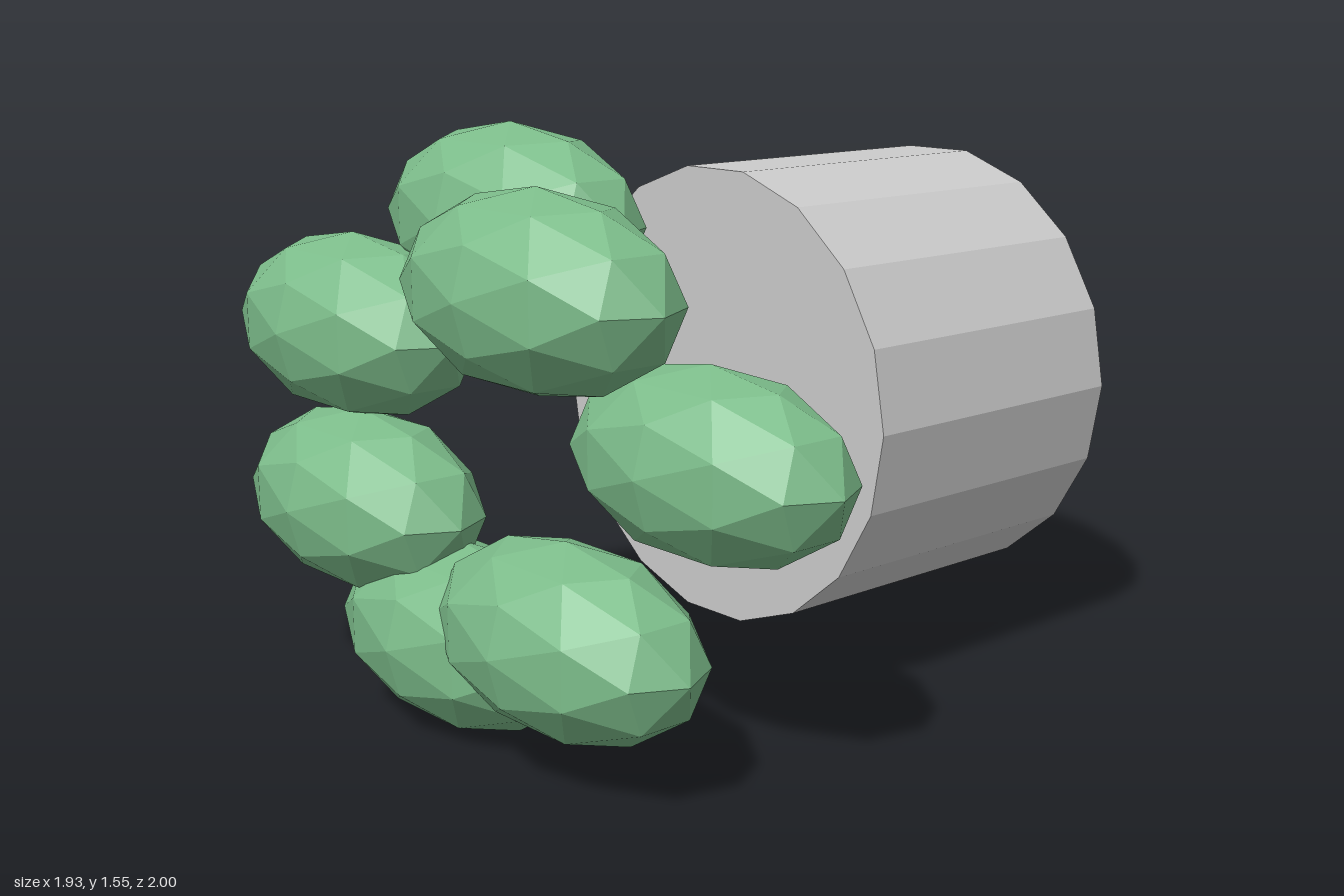
import * as THREE from 'three';

export function createModel() {
  const model = new THREE.Group();
  const centre = { x: -0.03, y: 0.775 };

  // Faceted drum lying along z, with a vertex on each side
  const drumGeometry = new THREE.CylinderGeometry(0.633, 0.633, 0.9, 18, 1, false, Math.PI / 2);
  drumGeometry.rotateX(Math.PI / 2);
  const drum = new THREE.Mesh(
    drumGeometry,
    new THREE.MeshStandardMaterial({ color: 0xcccccc, flatShading: true })
  );
  drum.name = 'drum';
  drum.position.set(centre.x, centre.y, -0.55);
  model.add(drum);

  // Ring of stretched low-poly leaf clumps, each at its own depth
  const clumps = new THREE.Group();
  clumps.name = 'leafClumps';
  const clumpGeometry = new THREE.IcosahedronGeometry(1, 1).scale(0.445, 0.243, 0.24);
  const green = new THREE.MeshStandardMaterial({ color: 0x7cbc8a, flatShading: true });
  const depths = [0.41, 0.757, 0.485, 0.727, 0.72, 0.667, 0.685];
  const ringRadius = 0.545;
  depths.forEach((z, i) => {
    const angle = (i / depths.length) * Math.PI * 2;
    const clump = new THREE.Mesh(clumpGeometry, green);
    clump.name = 'leafClump' + (i + 1);
    clump.position.set(
      centre.x + ringRadius * Math.cos(angle),
      centre.y + ringRadius * Math.sin(angle),
      z
    );
    clumps.add(clump);
  });
  model.add(clumps);

  return model;
}
